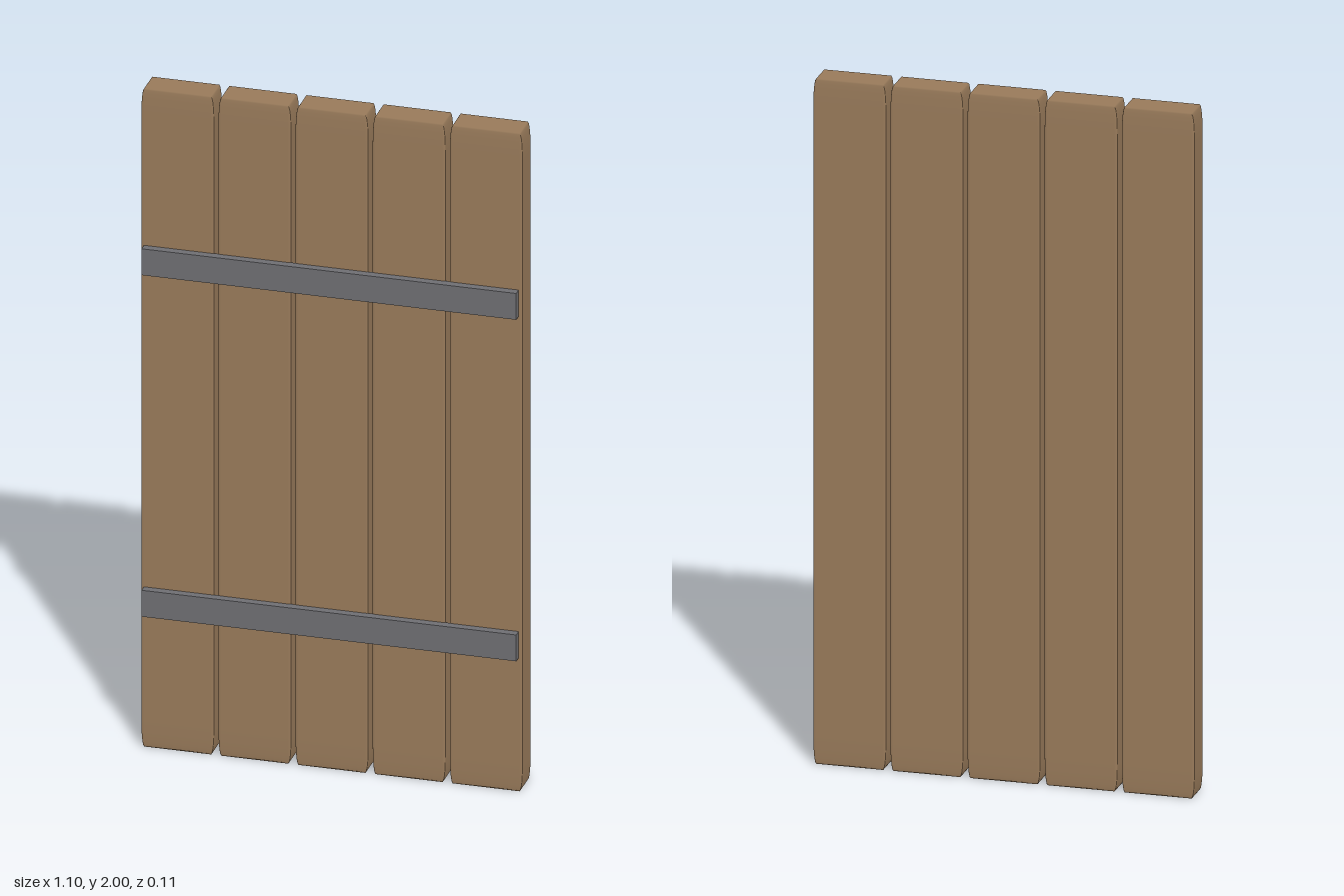
import * as THREE from 'three';
import { RoundedBoxGeometry } from 'three/addons/geometries/RoundedBoxGeometry.js';

export function createModel() {
  const group = new THREE.Group();
  const wood = new THREE.MeshStandardMaterial({ color: 0x987a5a });
  const iron = new THREE.MeshStandardMaterial({ color: 0x6e6e72 });

  // Planks: a softly rounded cube stretched to size, so the rounding stretches with it
  const plankGeometry = new RoundedBoxGeometry(1, 1, 1, 3, 0.04);
  plankGeometry.scale(0.209, 2, 0.088);
  for (let i = 0; i < 5; i++) {
    const plank = new THREE.Mesh(plankGeometry, wood);
    plank.name = `plank${i + 1}`;
    plank.position.set((i - 2) * 0.2215, 1, -0.012);
    group.add(plank);
  }

  // Flat straps across the front
  const strapGeometry = new THREE.BoxGeometry(1.076, 0.08, 0.026);
  for (const [name, y] of [['lowerStrap', 0.447], ['upperStrap', 1.485]]) {
    const strap = new THREE.Mesh(strapGeometry, iron);
    strap.name = name;
    strap.position.set(-0.001, y, 0.043);
    group.add(strap);
  }
  return group;
}
